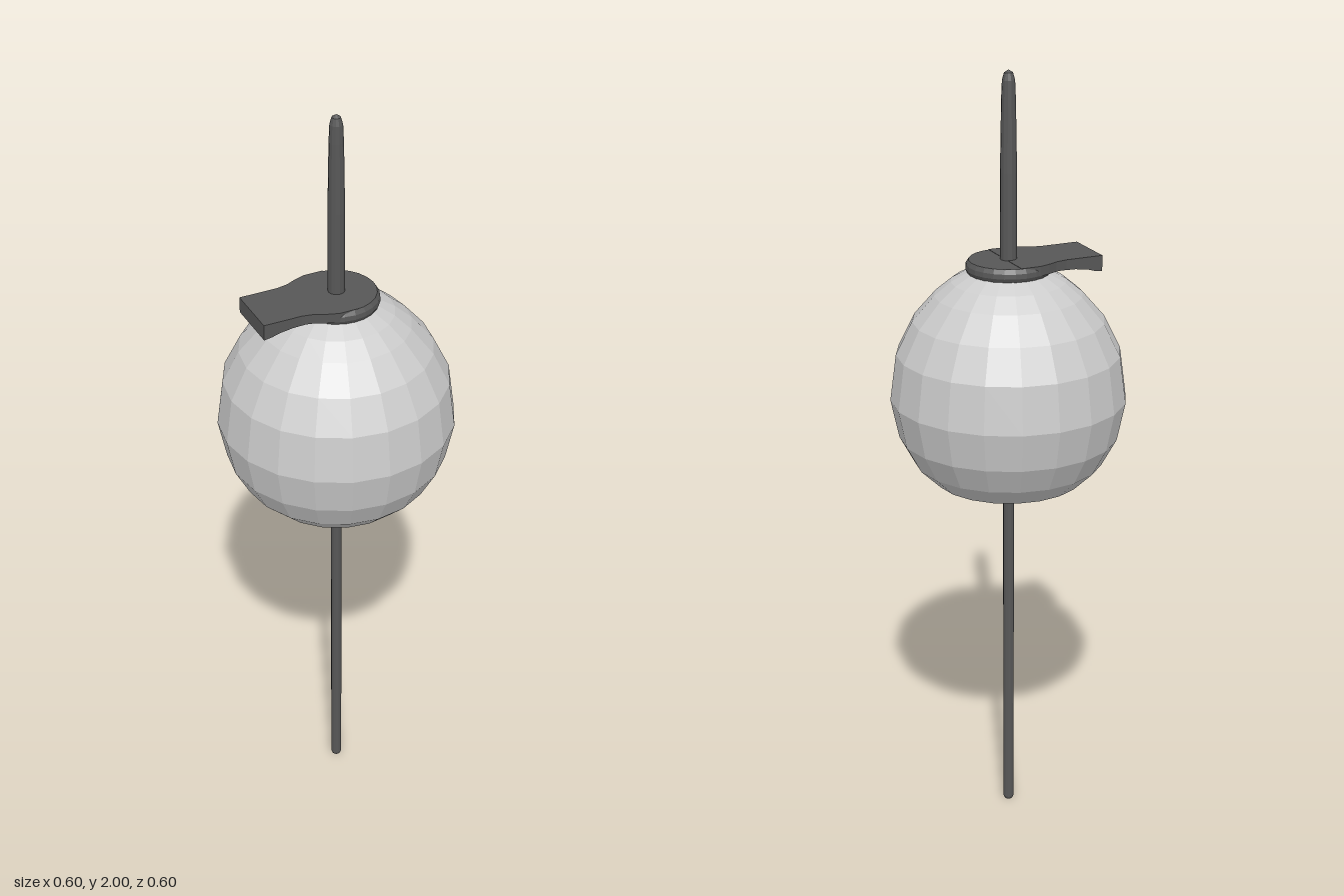
import * as THREE from 'three';

const v = (x, y) => new THREE.Vector2(x, y);

export function createModel() {
  const group = new THREE.Group();
  const bodyGrey = new THREE.MeshStandardMaterial({ color: 0xcccccc, flatShading: true });
  bodyGrey.name = 'light grey';
  const darkGrey = new THREE.MeshStandardMaterial({ color: 0x575757, flatShading: true });
  darkGrey.name = 'dark grey';

  const add = (name, geometry, material) => {
    const mesh = new THREE.Mesh(geometry, material);
    mesh.name = name;
    group.add(mesh);
    return mesh;
  };
  // profiles are [radius, height] pairs from bottom to top
  const lathe = (name, profile, sides, material) =>
    add(name, new THREE.LatheGeometry(profile.map(([r, y]) => v(r, y)), sides), material);

  // faceted round body with flat ends
  lathe('body', [
    [0, 0.915], [0.1, 0.915], [0.19, 0.95], [0.242, 1.0], [0.28, 1.07], [0.301, 1.17],
    [0.285, 1.29], [0.243, 1.375], [0.187, 1.44], [0.145, 1.475], [0.1, 1.5], [0, 1.5],
  ], 20, bodyGrey);

  // thin rod below the body
  lathe('lowerRod', [
    [0, 0], [0.011, 0.003], [0.014, 0.01], [0.014, 0.95],
  ], 12, darkGrey);

  // thicker, slightly tapered rod with a domed tip
  lathe('upperRod', [
    [0.021, 1.5], [0.021, 1.75], [0.018, 1.93], [0.016, 1.975], [0.011, 1.993], [0, 2],
  ], 12, darkGrey);

  // rounded collar under the plate
  lathe('collar', [
    [0, 1.488], [0.09, 1.488], [0.102, 1.494], [0.108, 1.507], [0.107, 1.519],
    [0.1, 1.53], [0, 1.53],
  ], 24, darkGrey);

  // flat plate: a disc that flows into a straight tab
  const side = [[-0.225, 0.072], [-0.125, 0.072], [-0.095, 0.078], [-0.07, 0.09], [-0.04, 0.1]];
  const outline = new THREE.Shape([
    ...side.map(([x, z]) => v(x, z)),
    v(0.01, 0.1), v(0.01, -0.1),
    ...side.slice().reverse().map(([x, z]) => v(x, -z)),
  ]);
  const plate = new THREE.ExtrudeGeometry(outline, { depth: 0.025, bevelEnabled: false });
  plate.rotateX(-Math.PI / 2).translate(0, 1.506, 0);
  add('leverPlate', plate, darkGrey);

  // curved lip under the end of the tab
  const lip = new THREE.Shape([
    v(-0.225, 1.49), v(-0.205, 1.493), v(-0.185, 1.499), v(-0.15, 1.504),
    v(-0.08, 1.506), v(-0.08, 1.515), v(-0.225, 1.515),
  ]);
  const lipGeometry = new THREE.ExtrudeGeometry(lip, { depth: 0.144, bevelEnabled: false });
  lipGeometry.translate(0, 0, -0.072);
  add('leverLip', lipGeometry, darkGrey);

  return group;
}
